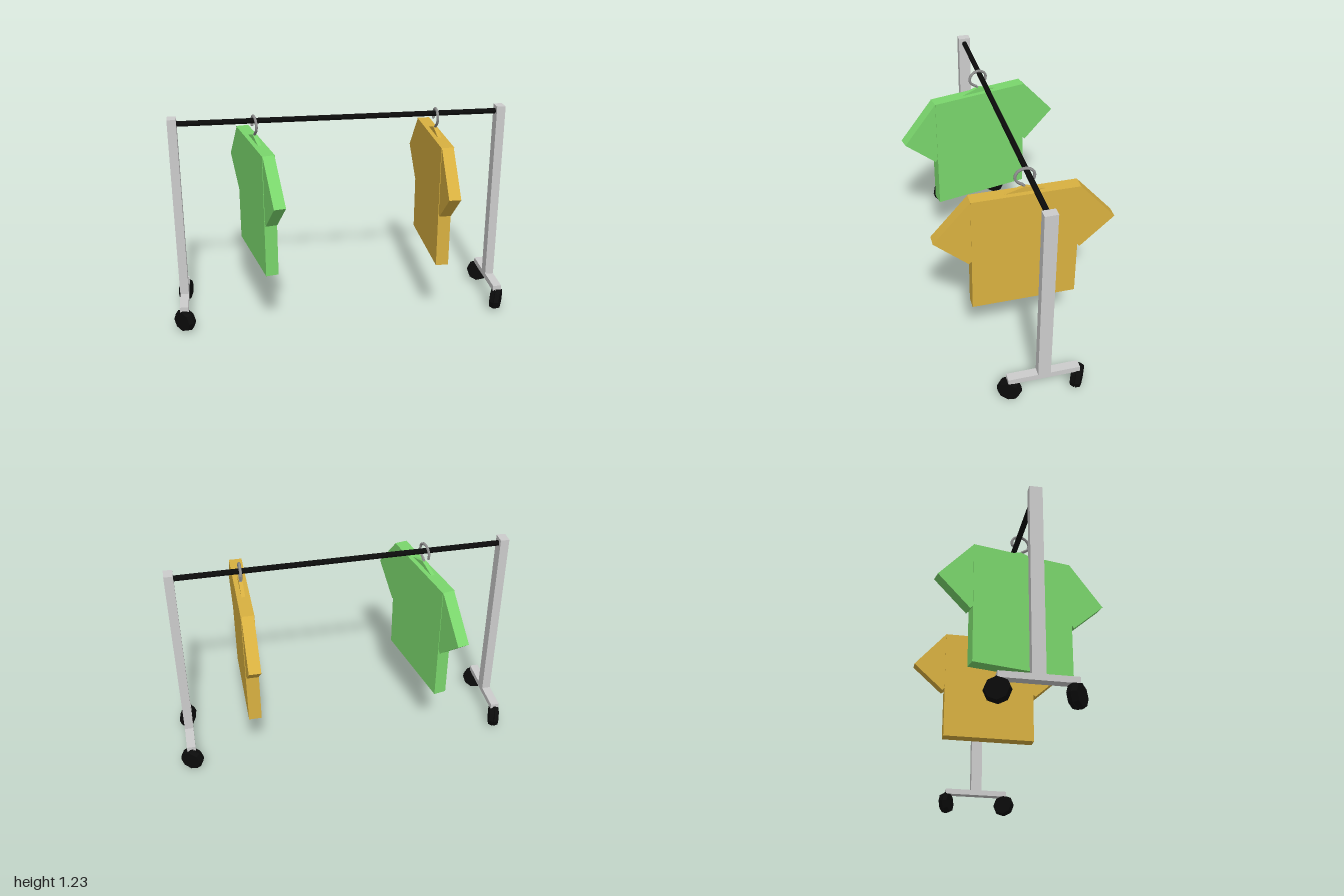
import * as THREE from 'three';

const paint = (color) => new THREE.MeshStandardMaterial({ color, flatShading: true });
const grey = paint(0xcccccc);
const steel = paint(0x8c8c8c);
const black = paint(0x0b0b0b);
const RAIL_Z = -0.015;

function add(parent, name, geometry, material, x = 0, y = 0, z = 0) {
  const mesh = new THREE.Mesh(geometry, material);
  mesh.name = name;
  mesh.position.set(x, y, z);
  parent.add(mesh);
  return mesh;
}

// Flat slab with its outline given as [z, y] points and its thickness along x
function slab(points, thickness) {
  const shape = new THREE.Shape(points.map(([z, y]) => new THREE.Vector2(z, y)));
  return new THREE.ExtrudeGeometry(shape, { depth: thickness, bevelEnabled: false })
    .translate(0, 0, -thickness / 2)
    .rotateY(-Math.PI / 2);
}

// Twin-disc castor; turn is the heading of the wheel around y
function castor(turn) {
  const group = new THREE.Group();
  group.name = 'castor';
  for (const s of [-1, 1]) {
    const disc = new THREE.CylinderGeometry(0.06, 0.07, 0.026, 8).rotateZ(-s * Math.PI / 2);
    add(group, 'wheelDisc', disc, black, s * 0.015, 0, 0);
  }
  add(group, 'axle', new THREE.CylinderGeometry(0.03, 0.03, 0.02, 8).rotateZ(Math.PI / 2), black);
  add(group, 'castorStem', new THREE.CylinderGeometry(0.012, 0.012, 0.07, 8), black, 0, 0.035, 0);
  group.rotation.y = turn;
  return group;
}

// Upright with its foot bar and two castors
function endFrame(x, turns) {
  const group = new THREE.Group();
  group.name = 'endFrame';
  add(group, 'post', new THREE.BoxGeometry(0.05, 1.1, 0.07), grey, 0, 0.68, RAIL_Z);
  add(group, 'foot', new THREE.BoxGeometry(0.05, 0.034, 0.4), grey, 0, 0.143, RAIL_Z);
  [-0.21, 0.172].forEach((z, i) => {
    const wheel = castor(turns[i]);
    wheel.position.set(0, 0.071, z);
    group.add(wheel);
  });
  group.position.x = x;
  return group;
}

// Shirt on a hanger, hanging in the z-y plane
function shirt(color) {
  const group = new THREE.Group();
  group.name = 'shirt';
  const cloth = paint(color);
  const body = [[-0.29, 0.38], [0.29, 0.38], [0.29, 1.09], [-0.29, 1.09]];
  add(group, 'shirtBody', slab(body, 0.072), cloth);
  for (const s of [-1, 1]) {
    const sleeve = [[0.28, 1.09], [0.29, 1.09], [0.49, 0.86], [0.305, 0.69], [0.28, 0.715]];
    add(group, 'sleeve', slab(sleeve.map(([z, y]) => [s * z, y]), 0.066), cloth);
  }
  add(group, 'hangerShoulder', slab([[-0.125, 1.085], [0.125, 1.085], [0, 1.122]], 0.02), cloth);

  // Hook: a short stem, then round the +z side and over the rail
  const points = [new THREE.Vector3(0, 1.1, 0), new THREE.Vector3(0, 1.125, 0.005)];
  for (let i = 0; i <= 8; i++) {
    const a = -1.1 + (i / 8) * 4.6;
    points.push(new THREE.Vector3(0, 1.18 + 0.047 * Math.sin(a), 0.052 * Math.cos(a)));
  }
  const curve = new THREE.CatmullRomCurve3(points);
  const hook = new THREE.TubeGeometry(curve, 24, 0.008, 6);
  const hookMesh = add(group, 'hook', hook, steel);
  // Rounded tip closes the open end of the wire
  const tip = points[points.length - 1];
  add(hookMesh, 'hookTip', new THREE.IcosahedronGeometry(0.009, 0), steel, tip.x, tip.y, tip.z);
  return group;
}

export function createModel() {
  const model = new THREE.Group();
  model.name = 'clothesRack';

  model.add(endFrame(-0.935, [-0.3, 0.83]));
  model.add(endFrame(0.93, [1.05, -0.5]));

  // Hanging rail between the posts
  const rail = new THREE.CylinderGeometry(0.016, 0.016, 1.83, 8).rotateZ(Math.PI / 2);
  add(model, 'rail', rail, black, 0, 1.197, RAIL_Z);

  const gold = shirt(0xd8b040);
  gold.position.x = 0.55;
  model.add(gold);

  const green = shirt(0x7ad66c);
  green.position.x = -0.485;
  green.rotation.y = 0.2;
  model.add(green);

  return model;
}
